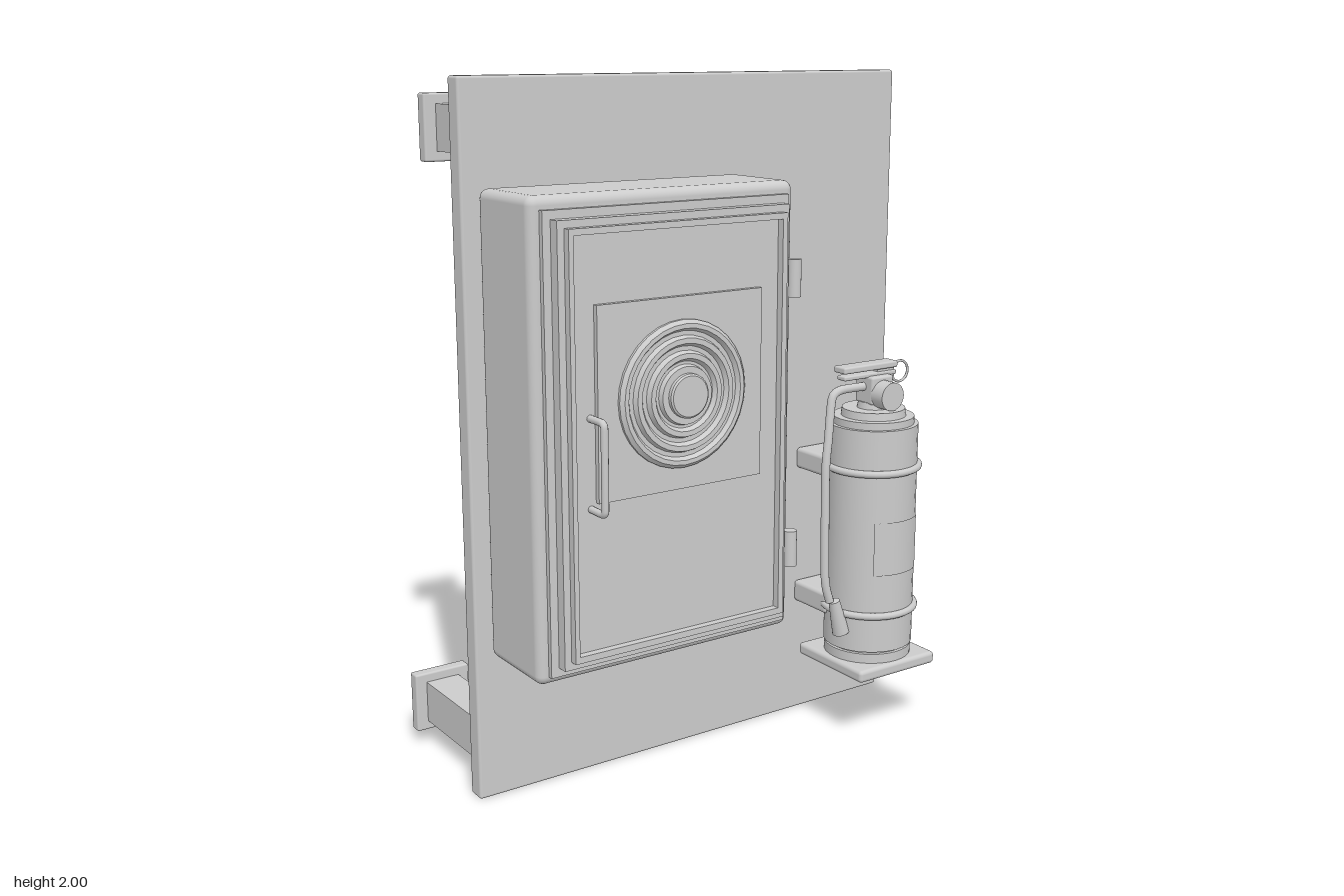
import * as THREE from 'three';
import { RoundedBoxGeometry } from 'three/addons/geometries/RoundedBoxGeometry.js';
import { toCreasedNormals } from 'three/addons/utils/BufferGeometryUtils.js';

export function createModel() {
  const root = new THREE.Group();
  root.name = 'wallSafetyStation';
  const grey = new THREE.MeshStandardMaterial({ color: 0xcccccc });
  grey.name = 'plain grey';

  const add = (name, geometry, parent = root) => {
    const mesh = new THREE.Mesh(geometry, grey);
    mesh.name = name;
    parent.add(mesh);
    return mesh;
  };
  const group = (name) => {
    const g = new THREE.Group();
    g.name = name;
    root.add(g);
    return g;
  };
  // Box given by its limits, with optional rounded edges
  const box = (name, [x0, x1], [y0, y1], [z0, z1], parent, radius = 0) => {
    const size = [x1 - x0, y1 - y0, z1 - z0];
    const geo = radius ? new RoundedBoxGeometry(...size, 3, radius) : new THREE.BoxGeometry(...size);
    const mesh = add(name, geo, parent);
    mesh.position.set((x0 + x1) / 2, (y0 + y1) / 2, (z0 + z1) / 2);
    return mesh;
  };
  const cylinder = (name, r0, r1, y0, y1, parent, segments = 32) => {
    const mesh = add(name, new THREE.CylinderGeometry(r1, r0, y1 - y0, segments), parent);
    mesh.position.y = (y0 + y1) / 2;
    return mesh;
  };
  const tube = (name, points, radius, parent, tension = 0.3) => {
    const path = new THREE.CatmullRomCurve3(
      points.map((p) => new THREE.Vector3(...p)), false, 'catmullrom', tension);
    return add(name, new THREE.TubeGeometry(path, 64, radius, 12), parent);
  };

  // Back board
  box('backBoard', [-0.735, 0.735], [0, 2], [-0.014, 0.043], root, 0.008);

  // Four stand-off posts, each with a flange and an end cap
  for (const side of [-1, 1]) {
    for (const [y, end] of [[1.86, -0.178], [0.133, -0.385]]) {
      const post = group('standOffPost');
      post.position.set(side * 0.637, y, 0);
      box('postArm', [-0.053, 0.053], [-0.063, 0.063], [end, -0.01], post);
      box('postFlange', [-0.088, 0.088], [-0.091, 0.091], [end - 0.038, end], post, 0.006);
      box('postCap', [-0.053, 0.053], [-0.063, 0.063], [end - 0.06, end - 0.03], post, 0.006);
    }
  }

  // Cabinet body and stepped door
  const cabinet = group('cabinet');
  box('cabinetBody', [-0.69, 0.14], [0.425, 1.715], [0.043, 0.318], cabinet, 0.025);
  box('doorSeal', [-0.66, 0.11], [0.45, 1.68], [0.3, 0.333], cabinet);
  box('doorPanel', [-0.637, 0.087], [0.475, 1.657], [0.333, 0.365], cabinet);

  // Door frame around the sunken panel
  const rect = (Type, x0, x1, y0, y1) => {
    const p = new Type();
    p.moveTo(x0, y0).lineTo(x1, y0).lineTo(x1, y1).lineTo(x0, y1).closePath();
    return p;
  };
  const frame = rect(THREE.Shape, -0.617, 0.066, 0.497, 1.637);
  frame.holes.push(rect(THREE.Path, -0.603, 0.05, 0.515, 1.62));
  add('doorFrame', new THREE.ExtrudeGeometry(frame, { depth: 0.022, bevelEnabled: false }), cabinet)
    .position.z = 0.365;

  // Dial plate and ridged dial
  box('dialPlate', [-0.535, -0.015], [0.92, 1.44], [0.365, 0.38], cabinet);
  const ridges = [
    [0.2, 0], [0.2, 0.01], [0.19, 0.02], [0.178, 0.02], [0.17, 0.008], [0.158, 0.008],
    [0.152, 0.022], [0.138, 0.022], [0.13, 0.01], [0.118, 0.01], [0.112, 0.025],
    [0.098, 0.025], [0.09, 0.013], [0.082, 0.013], [0.078, 0.027], [0.06, 0.027],
    [0.06, 0.038], [0.055, 0.042], [0, 0.042],
  ].map(([r, h]) => new THREE.Vector2(r, h));
  const dial = add('dial', toCreasedNormals(new THREE.LatheGeometry(ridges, 32), 0.5), cabinet);
  dial.rotation.x = Math.PI / 2;
  dial.position.set(-0.275, 1.18, 0.378);

  // Door handle
  tube('doorHandle', [
    [-0.55, 1.147, 0.365], [-0.55, 1.147, 0.42], [-0.55, 1.135, 0.434],
    [-0.55, 0.917, 0.434], [-0.55, 0.905, 0.42], [-0.55, 0.905, 0.365],
  ], 0.01, cabinet, 0.15);

  // Hinges
  for (const [y0, y1] of [[1.4, 1.505], [0.622, 0.727]]) {
    const hinge = cylinder('hinge', 0.019, 0.019, y0, y1, cabinet, 20);
    hinge.position.x = 0.115;
    hinge.position.z = 0.356;
    box('hingeLeaf', [0.08, 0.115], [y0, y1], [0.315, 0.35], cabinet);
  }

  // Shelf and wall brackets of the extinguisher
  const mount = group('extinguisherMount');
  box('shelf', [0.367, 0.667], [0.205, 0.243], [0.09, 0.39], mount, 0.012);
  for (const [y0, y1] of [[0.8, 0.865], [0.365, 0.433]]) {
    box('wallBracket', [0.382, 0.647], [y0, y1], [0.04, 0.2], mount, 0.012);
  }

  // Extinguisher bottle, stacked around its own axis
  const ext = group('extinguisher');
  ext.position.set(0.516, 0, 0.244);
  cylinder('foot', 0.133, 0.133, 0.24, 0.272, ext);
  cylinder('footGroove', 0.122, 0.122, 0.27, 0.285, ext);
  cylinder('bottle', 0.136, 0.136, 0.28, 0.97, ext);
  cylinder('shoulder', 0.123, 0.123, 0.97, 0.992, ext);
  cylinder('collar', 0.098, 0.095, 0.992, 1.015, ext);
  cylinder('neck', 0.05, 0.046, 1.015, 1.035, ext);
  for (const y of [0.84, 0.396]) {
    const clamp = add('clampRing', new THREE.TorusGeometry(0.14, 0.011, 10, 40), ext);
    clamp.rotation.x = Math.PI / 2;
    clamp.position.y = y;
  }
  // Curved label on the front of the bottle
  const label = add('label',
    new THREE.CylinderGeometry(0.14, 0.14, 0.165, 12, 1, true, -0.63, 1.26), ext);
  label.position.y = 0.607;

  // Valve, gauge, levers and pull ring
  box('valve', [-0.042, 0.042], [1.03, 1.115], [-0.038, 0.04], ext, 0.008);
  const gauge = add('gauge', new THREE.CylinderGeometry(0.043, 0.043, 0.05, 24), ext);
  gauge.rotation.x = Math.PI / 2;
  gauge.position.set(0, 1.06, 0.06);
  box('upperLever', [-0.136, 0.072], [1.132, 1.152], [-0.028, 0.024], ext, 0.006);
  box('lowerLever', [-0.13, 0.072], [1.11, 1.124], [-0.02, 0.018], ext, 0.005);
  box('leverPivot', [0, 0.065], [1.105, 1.14], [-0.016, 0.014], ext);
  const pullRing = add('pullRing', new THREE.TorusGeometry(0.032, 0.004, 8, 28), ext);
  pullRing.position.set(0.1, 1.113, 0);

  // Hose and nozzle
  tube('hose', [
    [-0.03, 1.082, 0], [-0.13, 1.082, 0], [-0.163, 1.06, 0], [-0.182, 0.94, 0.01],
    [-0.194, 0.84, 0.015], [-0.196, 0.52, 0.025], [-0.18, 0.44, 0.03],
  ], 0.013, ext);
  const nozzle = add('nozzle', new THREE.CylinderGeometry(0.017, 0.026, 0.11, 20), ext);
  nozzle.position.set(-0.152, 0.388, 0.035);
  nozzle.rotation.z = 0.27;

  return root;
}
